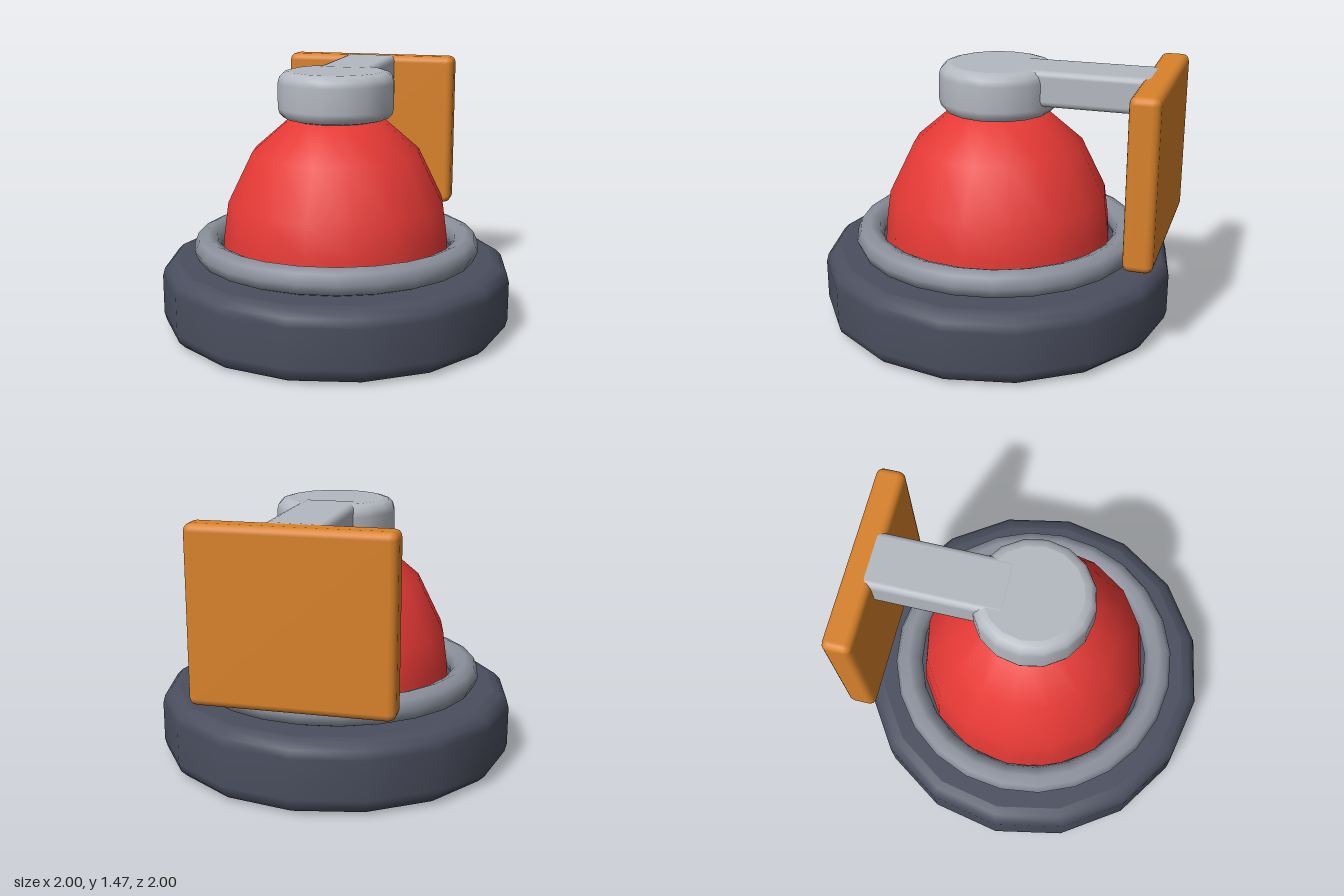
import * as THREE from 'three';
import { RoundedBoxGeometry } from 'three/addons/geometries/RoundedBoxGeometry.js';

const paint = (name, color) => {
  const m = new THREE.MeshStandardMaterial({ color });
  m.name = name;
  return m;
};

// Profile of a disc with rounded rims, from the bottom centre to the top centre
function discProfile(radius, y0, y1, bevel) {
  const points = [[0, y0], [radius - bevel, y0]];
  for (let i = 0; i <= 3; i++) {
    const a = (i / 3) * Math.PI / 2;
    points.push([radius - bevel + Math.sin(a) * bevel, y0 + bevel - Math.cos(a) * bevel]);
  }
  for (let i = 0; i <= 3; i++) {
    const a = (i / 3) * Math.PI / 2;
    points.push([radius - bevel + Math.cos(a) * bevel, y1 - bevel + Math.sin(a) * bevel]);
  }
  points.push([radius - bevel, y1], [0, y1]);
  return points;
}

const lathe = (points, sides) =>
  new THREE.LatheGeometry(points.map(([x, y]) => new THREE.Vector2(x, y)), sides);

export function createModel() {
  const group = new THREE.Group();
  const slate = paint('dark slate', 0x4a4e5e);
  const steel = paint('steel grey', 0x8b909c);
  const silver = paint('light grey', 0xb4b8c0);
  const red = paint('red', 0xe53935);
  const orange = paint('orange', 0xd9822b);

  const add = (name, geometry, material, x = 0, y = 0, z = 0) => {
    const mesh = new THREE.Mesh(geometry, material);
    mesh.name = name;
    mesh.position.set(x, y, z);
    group.add(mesh);
    return mesh;
  };

  // Heavy base disc and the ring resting on it
  add('base', lathe(discProfile(1, 0, 0.4, 0.09), 16), slate);
  const ring = new THREE.TorusGeometry(0.742, 0.078, 8, 24);
  ring.rotateX(Math.PI / 2);
  add('ring', ring, steel, 0, 0.473, 0);

  // Low-sided dome, narrowing under the cap
  const dome = [[0.655, 0.39], [0.643, 0.55], [0.618, 0.73], [0.478, 1.015], [0.26, 1.205], [0, 1.26]];
  add('dome', lathe(dome, 16), red);

  // Cap with an arm reaching back to the panel
  add('cap', lathe(discProfile(0.33, 1.2, 1.468, 0.065), 16), silver);
  add('arm', new RoundedBoxGeometry(0.32, 0.2, 0.78, 2, 0.035), silver, 0, 1.37, -0.5);
  add('panel', new RoundedBoxGeometry(1.06, 0.93, 0.16, 2, 0.04), orange, 0, 1.003, -0.9);

  return group;
}
